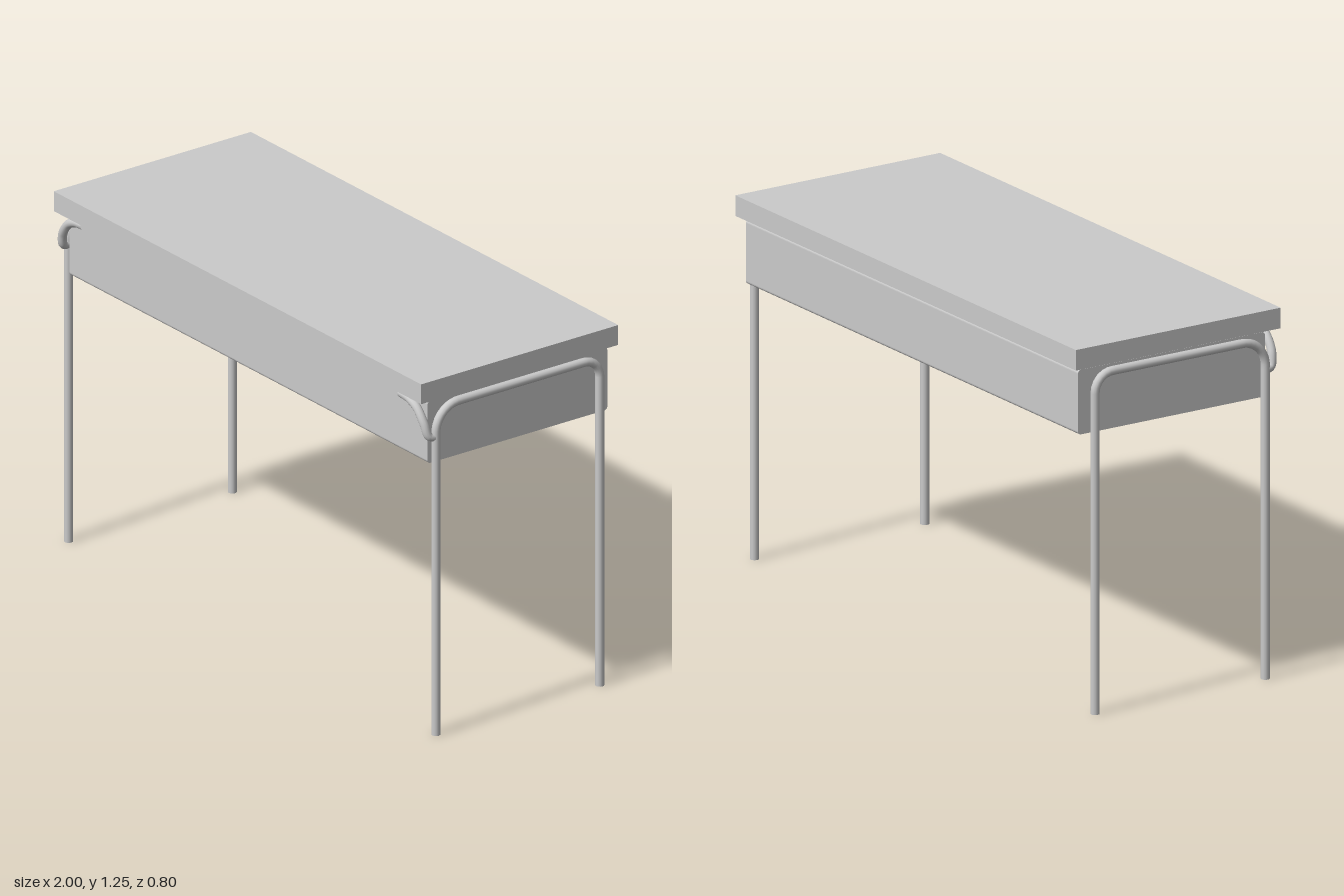
import * as THREE from 'three';

const grey = new THREE.MeshStandardMaterial({ color: 0xcccccc });
const R = 0.015;
const v = (x, y, z) => new THREE.Vector3(x, y, z);

function add(parent, name, geometry) {
  const mesh = new THREE.Mesh(geometry, grey);
  mesh.name = name;
  parent.add(mesh);
  return mesh;
}

// Bent tube that closes the gap between the floor and the rail: legs, corners and rail in one sweep
function legFrame(x) {
  const front = 0.34, back = -0.325, top = 1.155, rf = 0.09, rb = 0.065;
  const path = new THREE.CurvePath();
  path.add(new THREE.LineCurve3(v(x, 0, front), v(x, top - rf, front)));
  path.add(new THREE.CubicBezierCurve3(
    v(x, top - rf, front), v(x, top - rf * 0.45, front),
    v(x, top, front - rf * 0.45), v(x, top, front - rf)));
  path.add(new THREE.LineCurve3(v(x, top, front - rf), v(x, top, back + rb)));
  path.add(new THREE.CubicBezierCurve3(
    v(x, top, back + rb), v(x, top, back + rb * 0.45),
    v(x, top - rb * 0.45, back), v(x, top - rb, back)));
  path.add(new THREE.LineCurve3(v(x, top - rb, back), v(x, 0, back)));

  const group = new THREE.Group();
  add(group, 'legTube', new THREE.TubeGeometry(path, 160, R, 12));
  for (const z of [front, back]) {
    const foot = add(group, 'footCap', new THREE.CircleGeometry(R, 12));
    foot.rotation.x = Math.PI / 2;
    foot.position.set(x, 0, z);
  }
  return group;
}

// Curved brace from the front leg up to the underside of the top
function brace(side) {
  const path = new THREE.CatmullRomCurve3([
    v(0.983, 1.05, 0.342), v(0.98, 1.056, 0.365), v(0.968, 1.1, 0.376),
    v(0.935, 1.145, 0.379), v(0.895, 1.165, 0.38), v(0.85, 1.17, 0.38),
  ].map((p) => v(p.x * side, p.y, p.z)));
  return new THREE.TubeGeometry(path, 32, R, 12);
}

export function createModel() {
  const model = new THREE.Group();
  model.name = 'desk';

  // Flat slab top
  add(model, 'tableTop', new THREE.BoxGeometry(1.97, 0.07, 0.8)).position.y = 1.215;

  // Drawer box with softened long edges, extruded across the width
  const [w, h, r] = [0.365, 0.11, 0.012];
  const profile = new THREE.Shape();
  profile.moveTo(-w + r, -h);
  profile.lineTo(w - r, -h);
  profile.absarc(w - r, -h + r, r, -Math.PI / 2, 0);
  profile.absarc(w - r, h - r, r, 0, Math.PI / 2);
  profile.absarc(-w + r, h - r, r, Math.PI / 2, Math.PI);
  profile.absarc(-w + r, -h + r, r, Math.PI, Math.PI * 1.5);
  const box = new THREE.ExtrudeGeometry(profile, { depth: 1.92, bevelEnabled: false, curveSegments: 4 });
  box.translate(0, 0, -0.96).rotateY(Math.PI / 2);
  add(model, 'drawerBox', box).position.set(0, 1.06, -0.01);

  // Leg frames and front braces on both sides
  for (const side of [1, -1]) {
    const label = side > 0 ? 'left' : 'right';
    const frame = legFrame(0.985 * side);
    frame.name = label + 'LegFrame';
    model.add(frame);
    const arm = add(model, label + 'Brace', brace(side));
    // Rounded lower end of the brace
    const tip = add(model, label + 'BraceEnd', new THREE.SphereGeometry(R, 12, 8));
    tip.position.set(0.983 * side, 1.05, 0.342);
    arm.castShadow = true;
  }
  return model;
}
